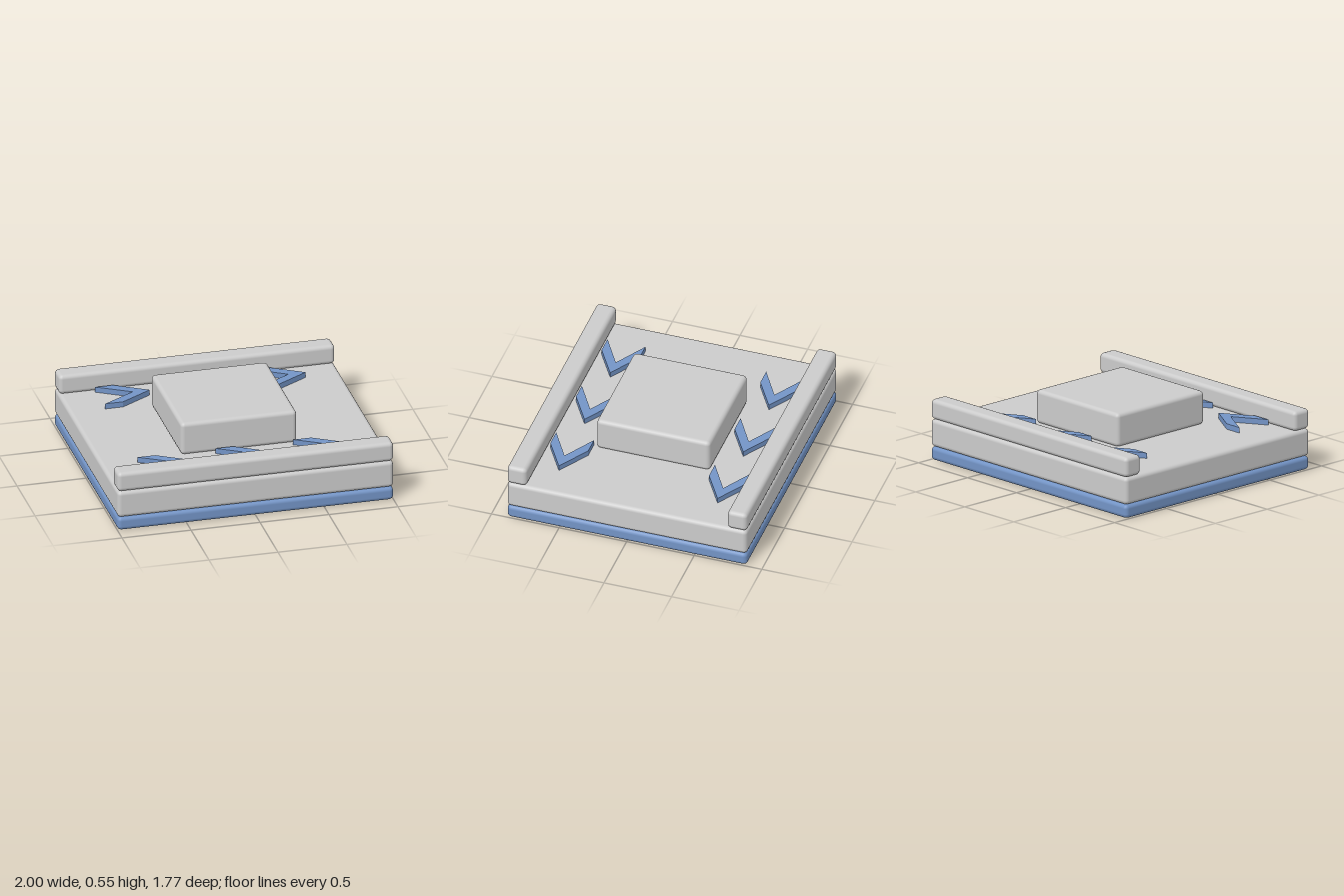
import * as THREE from 'three';
import { RoundedBoxGeometry } from 'three/addons/geometries/RoundedBoxGeometry.js';

const grey = new THREE.MeshStandardMaterial({ color: 0xcccccc });
const blue = new THREE.MeshStandardMaterial({ color: 0x7394c6 });

// Box with softened edges, standing on height y
function slab(name, w, h, d, y, z, material, radius = 0.03) {
  const mesh = new THREE.Mesh(new RoundedBoxGeometry(w, h, d, 2, radius), material);
  mesh.name = name;
  mesh.position.set(0, y + h / 2, z);
  return mesh;
}

// Flat arrow pointing to +x, lying on the deck
function chevronGeometry() {
  const shape = new THREE.Shape([
    [-0.18, 0.14], [-0.18 + 0.13, 0.14], [0.18, 0], [-0.18 + 0.13, -0.14], [-0.18, -0.14], [0.055, 0],
  ].map(([x, y]) => new THREE.Vector2(x, y)));
  const geometry = new THREE.ExtrudeGeometry(shape, { depth: 0.045, bevelEnabled: false });
  return geometry.rotateX(-Math.PI / 2);
}

export function createModel() {
  const model = new THREE.Group();
  model.name = 'conveyorPlate';

  // Stacked base and deck, with the raised block in the middle
  model.add(slab('base', 2, 0.1, 1.775, 0, 0, blue));
  model.add(slab('deck', 2, 0.2, 1.775, 0.1, 0, grey));
  model.add(slab('centreBlock', 0.84, 0.245, 0.84, 0.3, 0, grey));

  // Side rails and the rows of direction arrows beside them
  const arrow = chevronGeometry();
  for (const [side, s] of [['front', 1], ['back', -1]]) {
    model.add(slab(side + 'Rail', 2, 0.145, 0.145, 0.3, s * 0.815, grey));
    for (let i = -1; i <= 1; i++) {
      const mesh = new THREE.Mesh(arrow, blue);
      mesh.name = side + 'Arrow';
      mesh.position.set(i * 0.565, 0.295, s * 0.587);
      model.add(mesh);
    }
  }
  return model;
}
